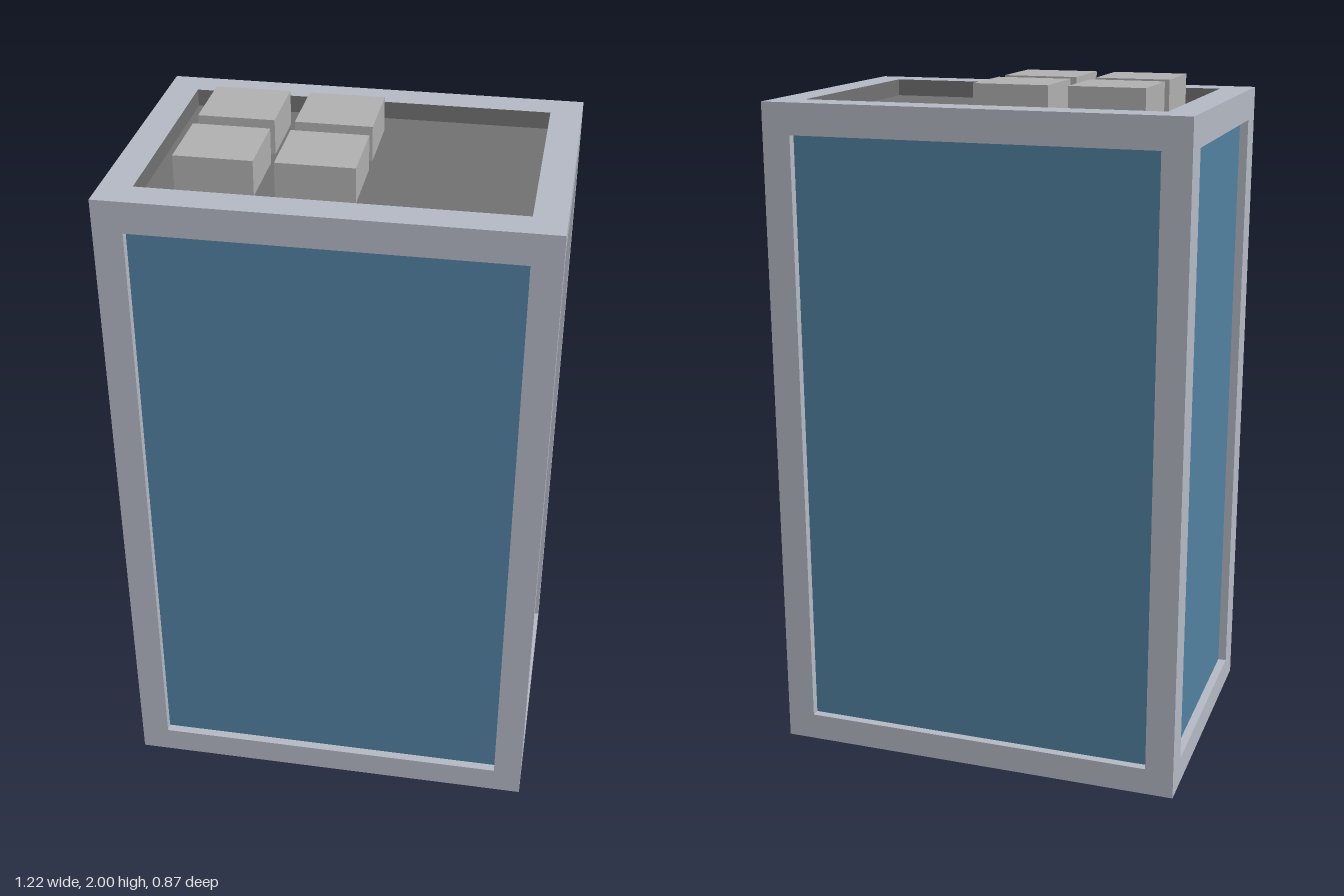
import * as THREE from 'three';

const W = 1.22, H = 1.95, D = 0.87;

const mat = (color) => new THREE.MeshStandardMaterial({ color, side: THREE.DoubleSide });

function addMesh(parent, name, geometry, material) {
  const mesh = new THREE.Mesh(geometry, material);
  mesh.name = name;
  parent.add(mesh);
  return mesh;
}

// Corners of a rectangle, counter-clockwise
const rect = (x0, y0, x1, y1) =>
  [[x0, y0], [x1, y0], [x1, y1], [x0, y1]].map(([x, y]) => new THREE.Vector2(x, y));

// Four inward-facing strips running from the opening back to the recessed pane
function rimGeometry(corners, depth) {
  const pos = [];
  corners.forEach((a, i) => {
    const b = corners[(i + 1) % corners.length];
    pos.push(a.x, a.y, 0, b.x, b.y, 0, b.x, b.y, -depth);
    pos.push(a.x, a.y, 0, b.x, b.y, -depth, a.x, a.y, -depth);
  });
  const geo = new THREE.BufferGeometry();
  geo.setAttribute('position', new THREE.Float32BufferAttribute(pos, 3));
  geo.computeVertexNormals();
  return geo;
}

// Thin flat frame in the xy plane, facing +z, with a recessed pane
function framedPanel(name, outer, inner, depth, frameMat, rimMat, paneMat) {
  const group = new THREE.Group();
  group.name = name;
  const shape = new THREE.Shape(outer);
  shape.holes.push(new THREE.Path(inner));
  addMesh(group, 'frame', new THREE.ShapeGeometry(shape), frameMat);
  addMesh(group, 'rim', rimGeometry(inner, depth), rimMat);
  addMesh(group, 'pane', new THREE.ShapeGeometry(new THREE.Shape(inner)), paneMat).position.z = -depth;
  return group;
}

export function createModel() {
  const model = new THREE.Group();
  model.name = 'towerBlock';
  const frameMat = mat(0xb6bbc6);
  const glassMat = mat(0x5282a2);
  const roofMat = mat(0x737373);
  const unitMat = mat(0xb2b2b2);

  // Four glazed walls; the underside stays open
  const walls = [
    ['frontWall', W, D, 0.527], ['leftWall', D, W, 0.342],
    ['backWall', W, D, 0.527], ['rightWall', D, W, 0.342],
  ];
  walls.forEach(([name, width, span, half], i) => {
    const wall = framedPanel(name, rect(-width / 2, 0, width / 2, H),
      rect(-half, 0.08, half, 1.86), 0.025, frameMat, frameMat, glassMat);
    const angle = i * Math.PI / 2;
    wall.rotation.y = angle;
    wall.position.set(Math.sin(angle) * span / 2, 0, Math.cos(angle) * span / 2);
    model.add(wall);
  });

  // Roof with a parapet and a sunken deck
  const roofDepth = 0.05;
  const roof = framedPanel('roof', rect(-W / 2, -D / 2, W / 2, D / 2),
    rect(-0.52, -0.34, 0.52, 0.34), roofDepth, frameMat, roofMat, roofMat);
  roof.rotation.x = -Math.PI / 2;
  roof.position.y = H;
  model.add(roof);

  // Rooftop units in a two by two grid
  const base = H - roofDepth;
  for (const x of [-0.33, -0.056]) {
    for (const z of [-0.143, 0.132]) {
      addMesh(model, 'roofUnit', new THREE.BoxGeometry(0.217, 2 - base, 0.217), unitMat)
        .position.set(x, (2 + base) / 2, z);
    }
  }
  return model;
}
